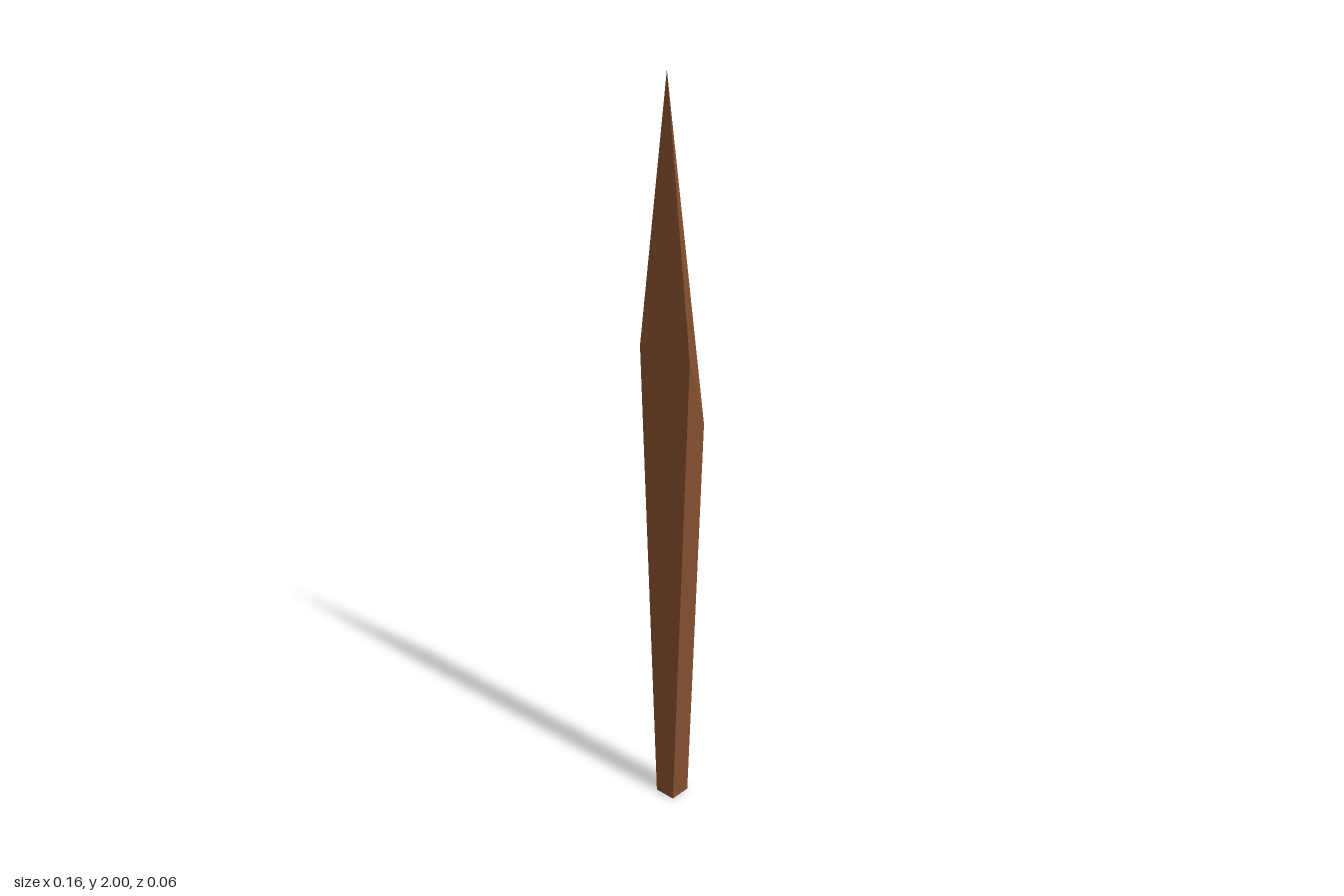
import * as THREE from 'three';

// Each ring runs: front left, back left, back right, front right (left is +x).
const foot = [[0.026, 0, 0.029], [0.026, 0, -0.031], [-0.034, 0, -0.031], [-0.034, 0, 0.029]];
const shoulder = [[0.081, 1.32, 0.03], [0.081, 1.14, -0.024], [-0.081, 1.14, -0.024], [-0.081, 1.32, 0.03]];
const tip = [0, 2, 0.02];

function bladeGeometry() {
  const points = [];
  const triangle = (a, b, c) => points.push(...a, ...b, ...c);
  for (let i = 0; i < 4; i++) {
    const j = (i + 1) % 4;
    // Widening shaft
    triangle(foot[i], foot[j], shoulder[j]);
    triangle(foot[i], shoulder[j], shoulder[i]);
    // Tapering point
    triangle(shoulder[i], shoulder[j], tip);
  }
  // Flat foot
  triangle(foot[0], foot[2], foot[1]);
  triangle(foot[0], foot[3], foot[2]);

  const geometry = new THREE.BufferGeometry();
  geometry.setAttribute('position', new THREE.Float32BufferAttribute(points, 3));
  geometry.computeVertexNormals();
  return geometry;
}

export function createModel() {
  const group = new THREE.Group();
  group.name = 'woodenStake';
  const wood = new THREE.MeshStandardMaterial({ color: 0x85502f, flatShading: true });
  const blade = new THREE.Mesh(bladeGeometry(), wood);
  blade.name = 'pointedBlade';
  group.add(blade);
  return group;
}
